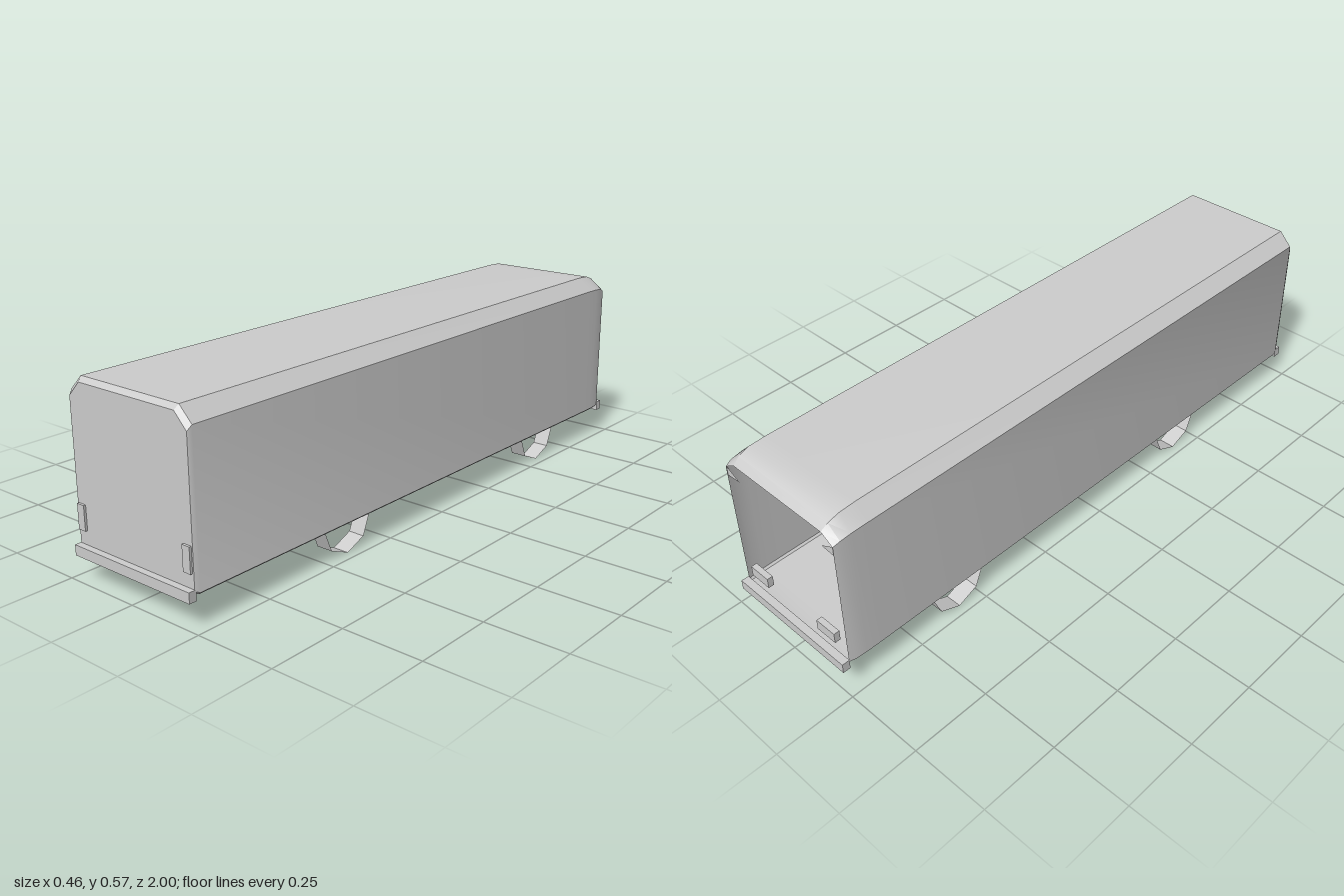
import * as THREE from 'three';
import { toCreasedNormals } from 'three/addons/utils/BufferGeometryUtils.js';

const grey = new THREE.MeshStandardMaterial({ color: 0xcccccc, side: THREE.DoubleSide });
grey.name = 'bodyGrey';

// Cross-section of the hull, counter-clockwise seen from the front
const section = (w, shoulder, topW, top, bottom) => [
  [-w + 0.006, bottom], [w - 0.006, bottom], [w, bottom + 0.006], [w, shoulder],
  [topW, top], [-topW, top], [-w, shoulder], [-w, bottom + 0.006],
];

// Sections from the bevelled nose to the rounded tail
const hull = [
  { z: 0.98, p: section(0.222, 0.517, 0.18, 0.561, 0.096) },
  { z: 0.967, p: section(0.228, 0.532, 0.185, 0.575, 0.09) },
  { z: -0.866, p: section(0.228, 0.532, 0.185, 0.575, 0.09) },
  { z: -0.92, p: section(0.2275, 0.531, 0.185, 0.572, 0.09) },
  { z: -0.955, p: section(0.2255, 0.526, 0.183, 0.56, 0.09) },
  { z: -0.976, p: section(0.221, 0.517, 0.179, 0.542, 0.092) },
];

function loft(sections) {
  const n = sections[0].p.length;
  const positions = sections.flatMap(({ z, p }) => p.flatMap(([x, y]) => [x, y, z]));
  const index = [];
  for (let s = 0; s < sections.length - 1; s++) {
    for (let i = 0; i < n; i++) {
      const a = s * n + i, b = s * n + (i + 1) % n;
      index.push(a, a + n, b, b, a + n, b + n);
    }
  }
  const geo = new THREE.BufferGeometry();
  geo.setAttribute('position', new THREE.Float32BufferAttribute(positions, 3));
  geo.setIndex(index);
  return toCreasedNormals(geo, 0.45);
}

function flatShape(points) {
  return new THREE.ShapeGeometry(new THREE.Shape(points.map(([x, y]) => new THREE.Vector2(x, y))));
}

export function createModel() {
  const model = new THREE.Group();
  model.name = 'bus';
  const add = (name, geo, x = 0, y = 0, z = 0) => {
    const mesh = new THREE.Mesh(geo, grey);
    mesh.name = name;
    mesh.position.set(x, y, z);
    model.add(mesh);
    return mesh;
  };

  // Hollow body, closed at the front and open at the back
  add('body', loft(hull));
  add('frontPanel', flatShape(hull[0].p), 0, 0, hull[0].z);

  // Bumpers
  for (const [name, z] of [['frontBumper', 0.988], ['rearBumper', -0.988]]) {
    add(name, new THREE.BoxGeometry(0.446, 0.031, 0.024), 0, 0.0905, z);
  }

  // Open eight-sided wheel bands, a corner touching the ground
  const wheel = new THREE.CylinderGeometry(0.096, 0.096, 0.053, 8, 1, true);
  wheel.rotateZ(Math.PI / 2);
  const wheelBand = toCreasedNormals(wheel, 0.4);

  for (const side of [1, -1]) {
    const hand = side > 0 ? 'left' : 'right';
    add(hand + 'FrontWheel', wheelBand, side * 0.1935, 0.096, 0.405);
    add(hand + 'RearWheel', wheelBand, side * 0.1935, 0.096, -0.578);

    // Lamps
    add(hand + 'Headlamp', new THREE.BoxGeometry(0.027, 0.074, 0.01), side * 0.204, 0.185, 0.982);
    add(hand + 'TailLamp', new THREE.BoxGeometry(0.073, 0.033, 0.018), side * 0.144, 0.163, -0.975);

    // Small corner plates in the rear opening
    add(hand + 'RearCorner', flatShape([[side * 0.221, 0.517], [side * 0.221, 0.485], [side * 0.17, 0.49]])
      .rotateY(0), 0, 0, -0.974);
  }
  return model;
}
